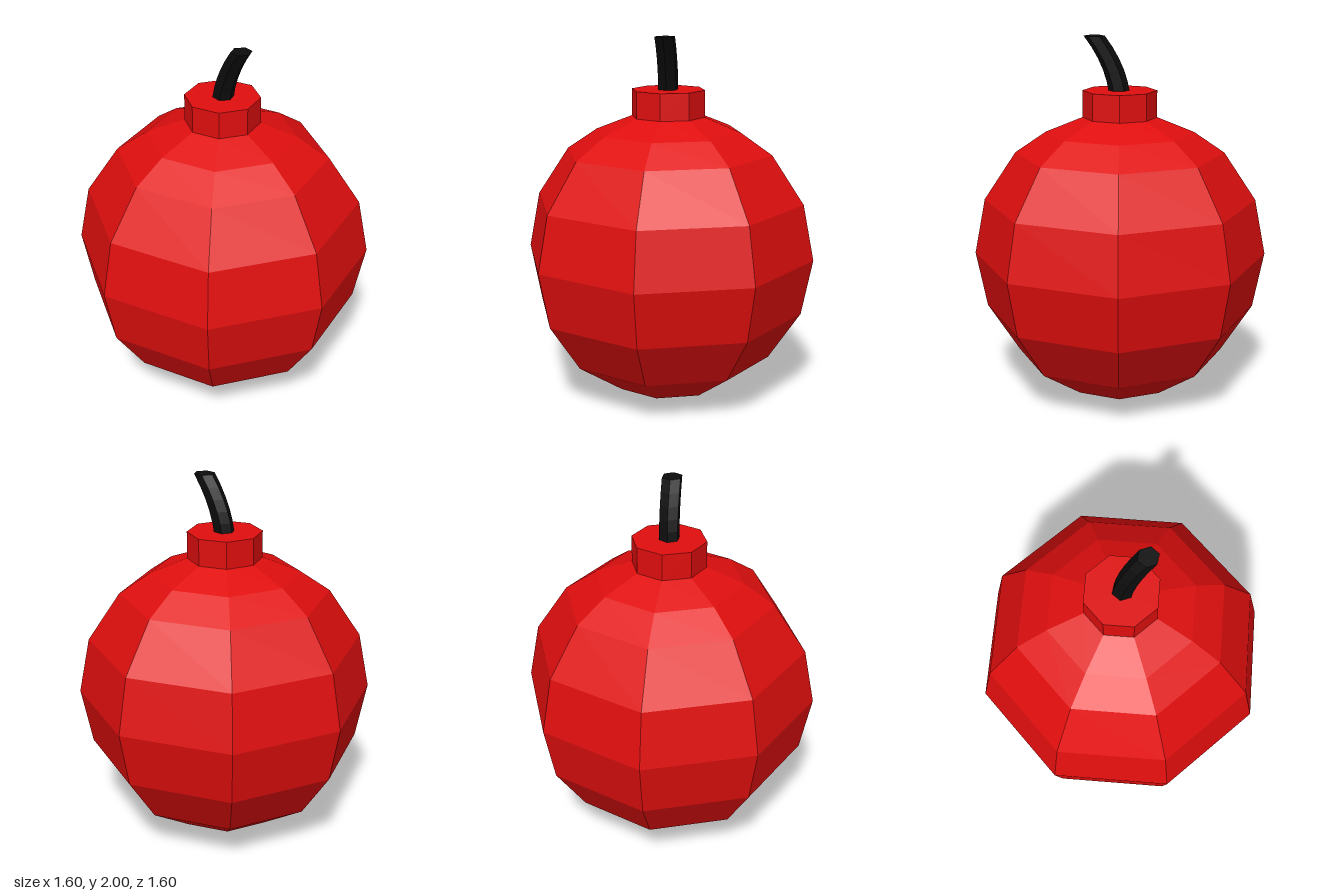
import * as THREE from 'three';

export function createModel() {
  const group = new THREE.Group();
  const red = new THREE.MeshStandardMaterial({ color: 0xe00e0e, flatShading: true });
  red.name = 'red shell';
  const black = new THREE.MeshStandardMaterial({ color: 0x0c0c0c, flatShading: true });
  black.name = 'black fuse';

  const add = (name, geometry, material) => {
    const mesh = new THREE.Mesh(geometry, material);
    mesh.name = name;
    group.add(mesh);
    return mesh;
  };

  // Eight-sided round body, slightly flattened towards the neck
  const profile = [
    [0, 0.005], [0.306, 0.065], [0.566, 0.238], [0.74, 0.5], [0.8, 0.805],
    [0.74, 1.11], [0.566, 1.372], [0.4, 1.485], [0.2, 1.565],
  ].map(([r, y]) => new THREE.Vector2(r, y));
  add('body', new THREE.LatheGeometry(profile, 8), red);

  // Neck collar rising from the top ring
  add('collar', new THREE.CylinderGeometry(0.2, 0.2, 0.15, 8), red).position.y = 1.635;

  // Six-sided fuse, sheared forward along a curve so its tip stays level
  const bottom = 1.7, height = 0.3;
  const fuse = new THREE.CylinderGeometry(0.056, 0.056, height, 6, 5);
  fuse.translate(0, bottom + height / 2, 0);
  const p = fuse.attributes.position;
  for (let i = 0; i < p.count; i++) {
    const t = (p.getY(i) - bottom) / height;
    p.setX(i, p.getX(i) + 0.01 * t);
    p.setZ(i, p.getZ(i) + 0.003 + 0.04 * t + 0.092 * t * t);
  }
  fuse.computeVertexNormals();
  add('fuse', fuse, black);

  return group;
}
